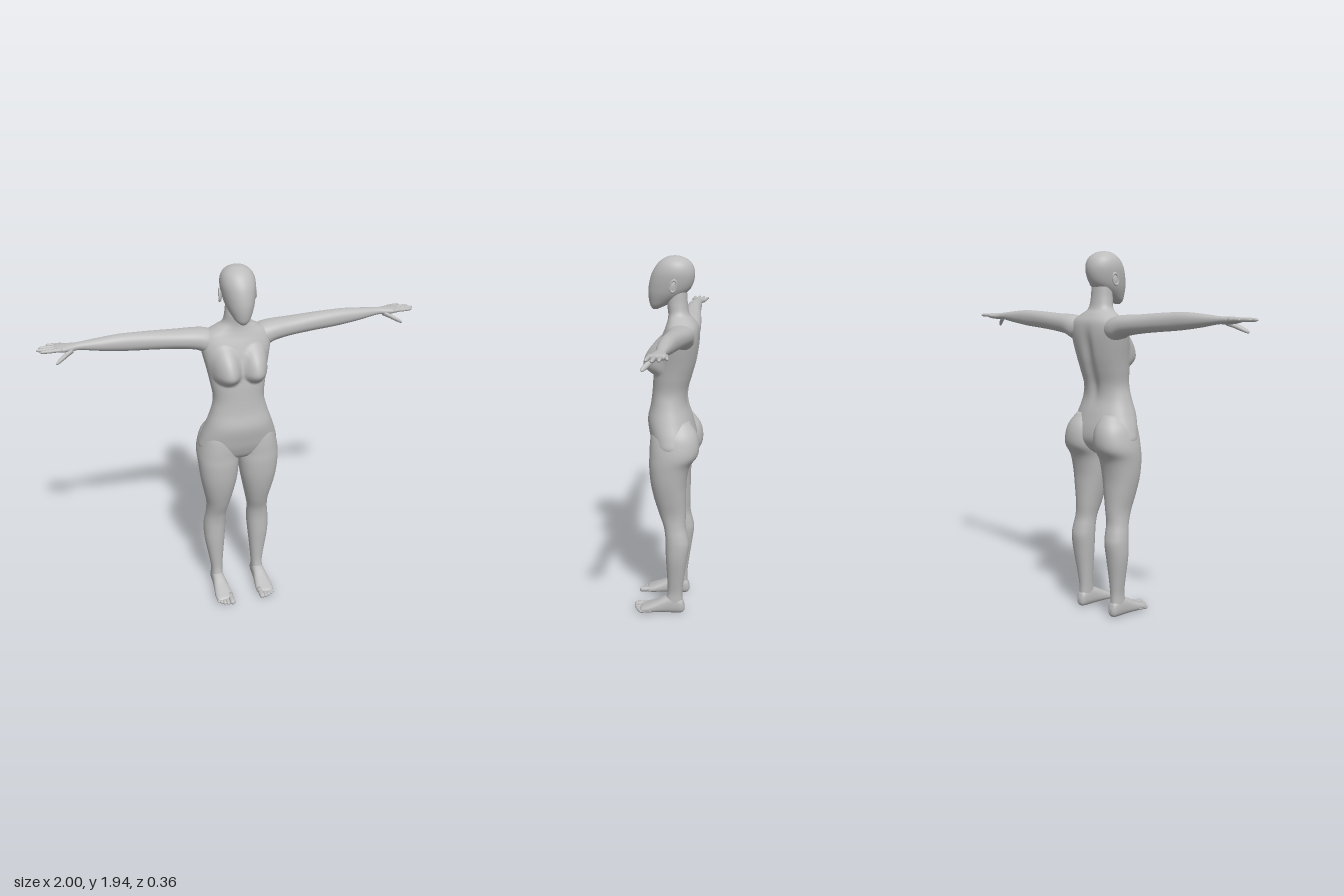
import * as THREE from 'three';

const AXES = { x: [0, 1, 2], y: [1, 2, 0], z: [2, 0, 1] };

// Skin through rows of [position on axis, a0, a1, b0, b1], positions ascending.
// The extents a, b follow the axis cyclically: x -> y,z   y -> z,x   z -> x,y
function loft(axis, rows, { sides = 32, steps = 5, power = 2.2, shape } = {}) {
  const order = AXES[axis];
  const spline = new THREE.CubicInterpolant(
    Float32Array.from(rows, (_, i) => i), Float32Array.from(rows.flat()), 5);
  const rings = (rows.length - 1) * steps;
  const pos = [], index = [];
  const add = (t, a, b) => {
    const p = [0, 0, 0];
    p[order[0]] = t; p[order[1]] = a; p[order[2]] = b;
    const v = new THREE.Vector3(...p);
    if (shape) shape(v);
    pos.push(v.x, v.y, v.z);
  };
  const bend = (c) => Math.sign(c) * Math.abs(c) ** (2 / power);
  for (let i = 0; i <= rings; i++) {
    const [t, a0, a1, b0, b1] = spline.evaluate(i / steps);
    for (let j = 0; j < sides; j++) {
      const q = (j / sides) * Math.PI * 2;
      add(t, (a0 + a1) / 2 + (a1 - a0) / 2 * bend(Math.cos(q)),
        (b0 + b1) / 2 + (b1 - b0) / 2 * bend(Math.sin(q)));
    }
  }
  for (const r of [rows[0], rows[rows.length - 1]]) add(r[0], (r[1] + r[2]) / 2, (r[3] + r[4]) / 2);
  const start = (rings + 1) * sides, last = rings * sides;
  for (let j = 0; j < sides; j++) {
    const k = (j + 1) % sides;
    for (let i = 0; i < rings; i++) {
      const p = i * sides + j, q = i * sides + k;
      index.push(p, q, p + sides, q, q + sides, p + sides);
    }
    index.push(start, k, j, start + 1, last + j, last + k);
  }
  const geo = new THREE.BufferGeometry();
  geo.setAttribute('position', new THREE.Float32BufferAttribute(pos, 3));
  geo.setIndex(index);
  geo.computeVertexNormals();
  return geo;
}

// Rounded, tapering finger or toe running along an axis
function digit(axis, from, to, r0, r1) {
  const [t, a, b] = AXES[axis];
  const rows = [[0, 1], [0.35, 0.92], [0.5, 1], [0.85, 1], [0.96, 0.65], [1, 0.15]].map(([s, k]) => {
    const c = from.map((v, i) => v + (to[i] - v) * s), r = (r0 + (r1 - r0) * s) * k;
    return [c[t], c[a] - r, c[a] + r, c[b] - r, c[b] + r];
  });
  return loft(axis, rows, { sides: 12, steps: 3, power: 2 });
}

function mirrored(geo) {
  const g = geo.clone().scale(-1, 1, 1);
  g.setIndex([...g.index.array].reverse());
  return g;
}

// Breasts in front, spine groove behind
function sculptTorso(v) {
  if (v.z > 0) {
    const dx = (Math.abs(v.x) - 0.081) / 0.077;
    const dy = (v.y - 1.405) / (v.y > 1.405 ? 0.14 : 0.066);
    v.z += 0.066 * Math.max(0, 1 - dx * dx - dy * dy) ** 1.1 * Math.min(1, v.z / 0.02);
  } else if (v.z < -0.05) {
    const fade = Math.exp(-(((v.y - 1.36) / 0.17) ** 4));
    v.z += 0.018 * fade * Math.exp(-((v.x / 0.03) ** 2));
  }
}

export function createModel() {
  const model = new THREE.Group();
  const skin = new THREE.MeshStandardMaterial({ color: 0xbcbcbc });
  skin.name = 'greySkin';

  const add = (name, geo) => {
    const mesh = new THREE.Mesh(geo, skin);
    mesh.name = name;
    model.add(mesh);
  };
  const pair = (name, geo) => {
    add('left' + name, geo);
    add('right' + name, mirrored(geo));
  };

  // Torso and neck: y, back, front, half width
  const upright = (rows) => rows.map(([y, back, front, w]) => [y, back, front, -w, w]);
  add('torso', loft('y', upright([
    [0.87, -0.06, 0, 0.05], [0.91, -0.12, 0.055, 0.16], [0.96, -0.15, 0.08, 0.214],
    [1.02, -0.15, 0.095, 0.206], [1.1, -0.13, 0.106, 0.178], [1.18, -0.106, 0.09, 0.15],
    [1.25, -0.108, 0.082, 0.136], [1.33, -0.13, 0.076, 0.147], [1.4, -0.148, 0.066, 0.16],
    [1.48, -0.16, 0.05, 0.178], [1.54, -0.162, 0.03, 0.188], [1.585, -0.155, 0.012, 0.172],
    [1.62, -0.133, 0.002, 0.115], [1.65, -0.11, 0, 0.072], [1.7, -0.1, 0.005, 0.06],
    [1.77, -0.095, 0, 0.055],
  ]), { sides: 96, steps: 7, shape: sculptTorso }));

  // Smooth, faceless head
  add('head', loft('y', upright([
    [1.672, 0.055, 0.082, 0.014], [1.69, 0.015, 0.094, 0.036], [1.72, -0.04, 0.101, 0.054],
    [1.75, -0.085, 0.104, 0.068], [1.78, -0.115, 0.103, 0.077], [1.82, -0.132, 0.096, 0.085],
    [1.86, -0.136, 0.083, 0.088], [1.895, -0.126, 0.062, 0.081], [1.92, -0.105, 0.037, 0.064],
    [1.938, -0.07, 0.005, 0.036], [1.943, -0.045, -0.02, 0.012],
  ]), { sides: 48, power: 2.05 }));

  // Ears: shell with a raised rim
  const place = (geo) => geo.rotateX(-0.2).rotateY(0.25).translate(0.086, 1.797, -0.034);
  pair('Ear', place(new THREE.SphereGeometry(1, 20, 14).scale(0.008, 0.031, 0.018)));
  pair('EarRim', place(new THREE.TorusGeometry(0.02, 0.005, 8, 28)
    .rotateY(Math.PI / 2).scale(1, 1.45, 0.85).translate(0.005, 0.002, 0)));

  // Legs with buttocks: y, back, front, inner x, outer x
  pair('Leg', loft('y', [
    [0.03, -0.09, 0, 0.098, 0.15], [0.07, -0.094, 0, 0.092, 0.155],
    [0.13, -0.094, -0.012, 0.09, 0.155], [0.22, -0.104, -0.01, 0.083, 0.169],
    [0.33, -0.12, -0.004, 0.073, 0.187], [0.41, -0.13, -0.002, 0.067, 0.19],
    [0.46, -0.123, 0, 0.066, 0.186], [0.52, -0.11, 0.01, 0.064, 0.178],
    [0.59, -0.11, 0.035, 0.05, 0.178], [0.68, -0.11, 0.062, 0.03, 0.196],
    [0.77, -0.112, 0.08, 0.012, 0.213], [0.86, -0.13, 0.087, 0.003, 0.222],
    [0.92, -0.17, 0.085, 0.001, 0.224], [0.98, -0.177, 0.083, 0.003, 0.214],
    [1.04, -0.162, 0.075, 0.012, 0.194], [1.1, -0.12, 0.05, 0.04, 0.15],
  ], { sides: 48 }));

  // Feet: z, inner x, outer x, bottom, top
  pair('Foot', loft('z', [
    [-0.106, 0.11, 0.137, 0.02, 0.05], [-0.092, 0.096, 0.151, 0.004, 0.083],
    [-0.05, 0.09, 0.156, 0, 0.108], [0, 0.086, 0.16, 0, 0.094], [0.05, 0.079, 0.167, 0, 0.068],
    [0.1, 0.073, 0.172, 0, 0.045], [0.13, 0.076, 0.168, 0.001, 0.032], [0.142, 0.09, 0.155, 0.006, 0.022],
  ], { power: 2.5 }));
  [[0.09, 0.18, 0.015], [0.114, 0.174, 0.011], [0.132, 0.166, 0.0105], [0.148, 0.156, 0.01],
    [0.162, 0.144, 0.009]].forEach(([x, tip, r], i) =>
    pair('Toe' + (i + 1), digit('z', [x, r + 0.008, tip - 0.07], [x, r, tip], r * 1.05, r)));

  // Arms and palms: x, bottom, top, back, front
  pair('Arm', loft('x', [
    [0.09, 1.5, 1.59, -0.14, -0.03], [0.15, 1.485, 1.612, -0.152, -0.012],
    [0.21, 1.51, 1.619, -0.15, -0.015], [0.3, 1.525, 1.622, -0.142, -0.025],
    [0.42, 1.537, 1.63, -0.128, -0.03], [0.52, 1.545, 1.635, -0.118, -0.032],
    [0.6, 1.553, 1.636, -0.113, -0.034], [0.7, 1.567, 1.629, -0.106, -0.04],
    [0.79, 1.582, 1.62, -0.099, -0.05], [0.83, 1.582, 1.618, -0.104, -0.043],
    [0.87, 1.584, 1.618, -0.117, -0.032], [0.9, 1.59, 1.616, -0.12, -0.031],
    [0.914, 1.597, 1.611, -0.112, -0.04],
  ], { sides: 40 }));

  // Fingers: base z, tip x, tip z, radius
  [[-0.04, 0.984, -0.037, 0.0095], [-0.064, 1, -0.064, 0.01], [-0.088, 0.986, -0.092, 0.0095],
    [-0.109, 0.948, -0.122, 0.0085]].forEach(([z, tipX, tipZ, r], i) =>
    pair('Finger' + (i + 1), digit('x', [0.875, 1.604, z], [tipX, 1.605, tipZ], r * 1.2, r * 0.8)));
  pair('Thumb', digit('x', [0.825, 1.594, -0.058], [0.917, 1.547, -0.008], 0.017, 0.009));

  return model;
}
